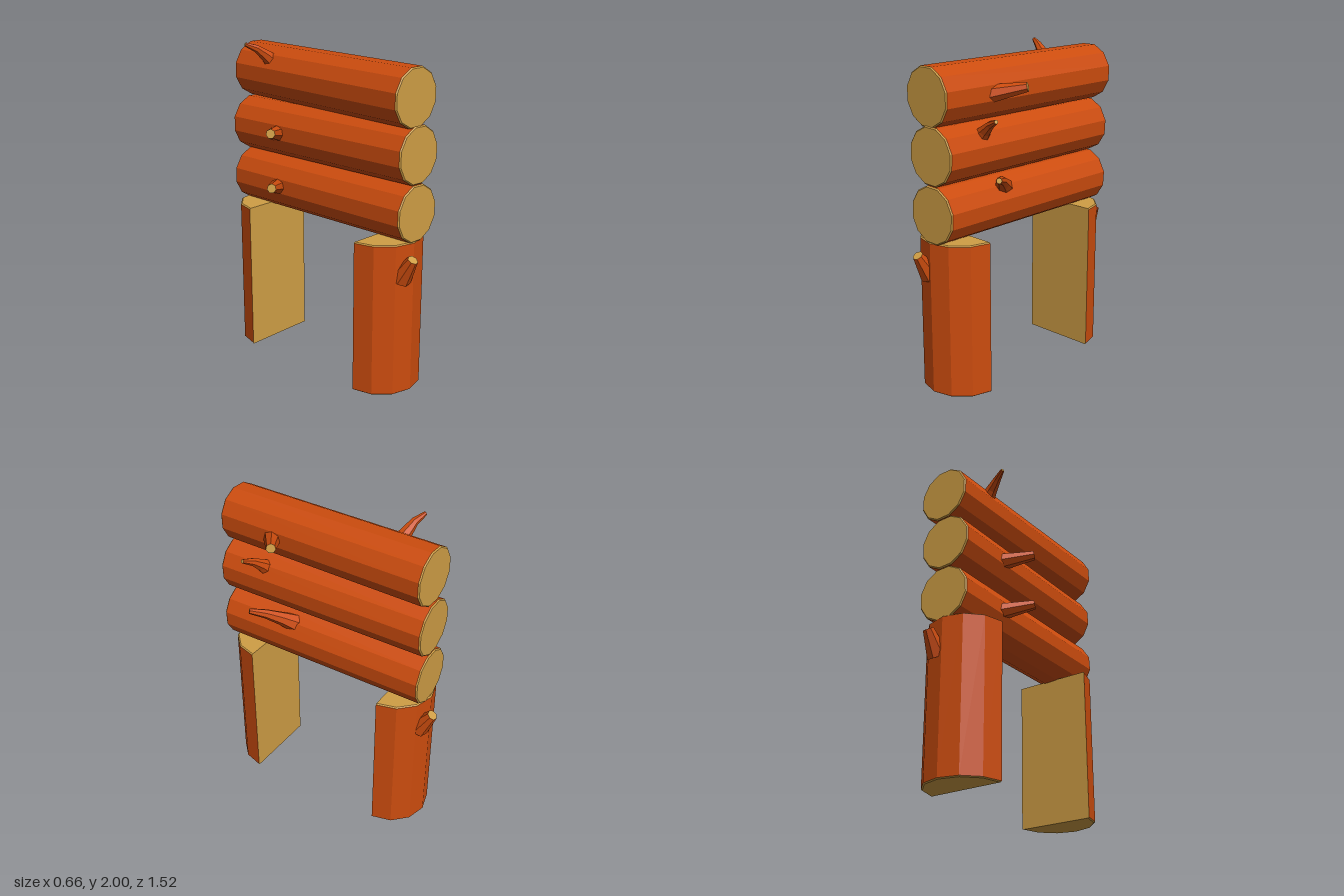
import * as THREE from 'three';

const bark = new THREE.MeshStandardMaterial({ color: 0xcc4c0e, flatShading: true });
bark.name = 'bark';
const cutWood = new THREE.MeshStandardMaterial({ color: 0xcf9e45, flatShading: true });
cutWood.name = 'cut wood';

const V = (x, y, z) => new THREE.Vector3(x, y, z);

function part(name, geometry, material, parent) {
  const mesh = new THREE.Mesh(geometry, material);
  mesh.name = name;
  parent.add(mesh);
  return mesh;
}

// Twelve-sided log from a to b, with slightly bevelled cut ends
function log(name, a, b, r) {
  const group = new THREE.Group();
  group.name = name;
  const length = a.distanceTo(b), bevel = 0.007, start = Math.PI / 12;
  part('logBark', new THREE.CylinderGeometry(r, r, length - 2 * bevel, 12, 1, true, start), bark, group);
  for (const s of [1, -1]) {
    const top = s > 0 ? r - 0.007 : r, bottom = s > 0 ? r : r - 0.007;
    part('logEnd', new THREE.CylinderGeometry(top, bottom, bevel, 12, 1, false, start), cutWood, group)
      .position.y = s * (length - bevel) / 2;
  }
  group.position.copy(a).add(b).multiplyScalar(0.5);
  group.quaternion.setFromUnitVectors(V(0, 1, 0), b.clone().sub(a).normalize());
  return group;
}

// Half-log post: round bark side towards +z, flat sawn side towards -z
function post(name, r, height) {
  const group = new THREE.Group();
  group.name = name;
  const bevel = 0.006, half = [-Math.PI / 2, Math.PI];
  part('postBark', new THREE.CylinderGeometry(r, r, height - 2 * bevel, 6, 1, true, ...half), bark, group)
    .position.y = height / 2;
  part('postTop', new THREE.CylinderGeometry(r - 0.008, r, bevel, 6, 1, false, ...half), cutWood, group)
    .position.y = height - bevel / 2;
  part('postBottom', new THREE.CylinderGeometry(r, r - 0.008, bevel, 6, 1, false, ...half), cutWood, group)
    .position.y = bevel / 2;
  part('sawnFace', new THREE.PlaneGeometry(2 * r, height).rotateY(Math.PI), cutWood, group)
    .position.y = height / 2;
  return group;
}

// Tapered branch stub along a few points, with a cut tip
function branch(name, points, r0, r1) {
  const group = new THREE.Group();
  group.name = name;
  const curve = new THREE.CatmullRomCurve3(points);
  const rings = points.length > 2 ? 3 : 1, sides = 7;
  const geometry = new THREE.TubeGeometry(curve, rings, 1, sides, false);
  const pos = geometry.attributes.position, p = V(0, 0, 0);
  for (let i = 0; i < pos.count; i++) {
    const t = Math.floor(i / (sides + 1)) / rings;
    const c = curve.getPointAt(t);
    p.fromBufferAttribute(pos, i).sub(c).multiplyScalar(r0 + (r1 - r0) * Math.pow(t, 0.8)).add(c);
    pos.setXYZ(i, p.x, p.y, p.z);
  }
  part('branchBark', geometry, bark, group);
  // Tip disc made from the last ring
  const ring = [];
  for (let i = 0; i < sides; i++) ring.push(V(0, 0, 0).fromBufferAttribute(pos, rings * (sides + 1) + i));
  const tip = new THREE.BufferGeometry(), corners = [];
  const end = curve.getPointAt(1), out = curve.getTangentAt(1);
  for (let i = 0; i < sides; i++) {
    let a = ring[i], b = ring[(i + 1) % sides];
    if (a.clone().sub(end).cross(b.clone().sub(end)).dot(out) < 0) [a, b] = [b, a];
    corners.push(end, a, b);
  }
  tip.setFromPoints(corners);
  tip.computeVertexNormals();
  part('branchTip', tip, cutWood, group);
  return group;
}

export function createModel() {
  const model = new THREE.Group();
  model.name = 'logStructure';

  // Two half-log posts, bark outwards
  const front = post('frontPost', 0.245, 0.95);
  front.position.set(0.006, 0, 0.445);
  front.rotation.y = 0.02;
  const back = post('backPost', 0.242, 0.95);
  back.position.set(-0.03, 0, -0.45);
  back.rotation.y = Math.PI + 0.04;
  model.add(front, back);

  // Three stacked logs, slightly askew
  model.add(
    log('bottomLog', V(-0.025, 1.105, -0.68), V(0.033, 1.115, 0.688), 0.174),
    log('middleLog', V(-0.025, 1.447, -0.68), V(0.033, 1.457, 0.688), 0.174),
    log('topLog', V(0.002, 1.794, -0.675), V(0.004, 1.786, 0.682), 0.175)
  );

  // Short stubs on the posts
  model.add(
    branch('frontPostStub', [V(-0.048, 0.73, 0.645), V(-0.048, 0.868, 0.733)], 0.064, 0.032),
    branch('backPostStub', [V(0.022, 0.73, -0.65), V(0.022, 0.868, -0.738)], 0.064, 0.032)
  );

  // Thick stubs on the log sides
  model.add(
    branch('topRightStub', [V(0.13, 1.775, 0.33), V(0.31, 1.823, 0.2)], 0.055, 0.029),
    branch('middleLeftStub', [V(-0.13, 1.44, -0.31), V(-0.31, 1.488, -0.18)], 0.055, 0.029),
    branch('bottomLeftStub', [V(-0.13, 1.1, -0.31), V(-0.31, 1.148, -0.18)], 0.055, 0.029)
  );

  // Thin curved twigs
  model.add(
    branch('topTwig', [V(-0.09, 1.86, -0.385), V(-0.19, 1.95, -0.41), V(-0.27, 1.988, -0.443)], 0.055, 0.012),
    branch('middleTwig', [V(0.11, 1.53, 0.385), V(0.21, 1.615, 0.405), V(0.295, 1.655, 0.43)], 0.055, 0.012),
    branch('bottomTwig', [V(0.1, 1.2, 0.19), V(0.21, 1.28, 0.31), V(0.29, 1.315, 0.405)], 0.06, 0.017)
  );
  return model;
}
